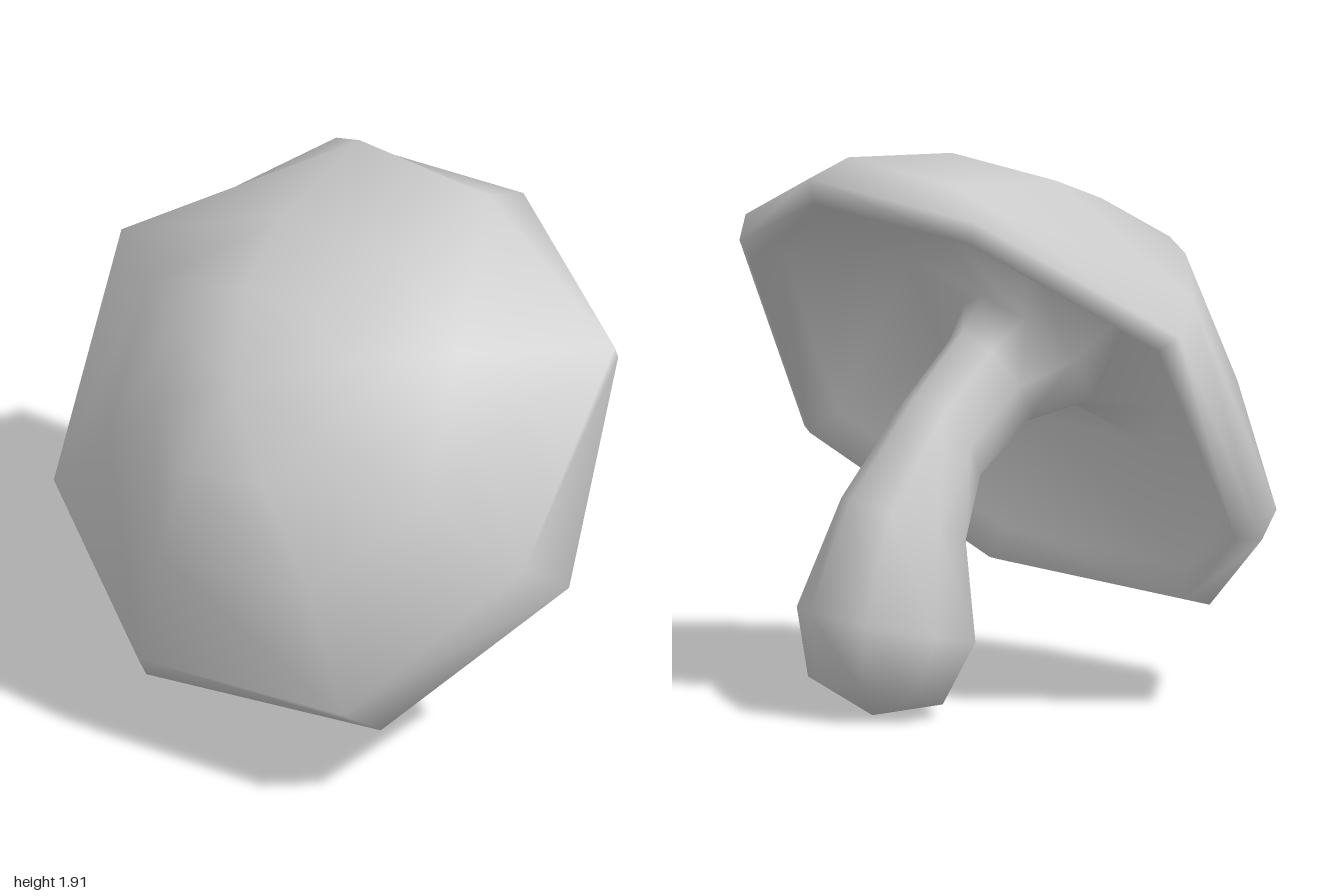
import * as THREE from 'three';
import { mergeVertices } from 'three/addons/utils/BufferGeometryUtils.js';

const SIDES = 8;
const V = (x, y, z) => new THREE.Vector3(x, y, z);

// Skins a stack of rings (arrays of SIDES points) with smooth normals
function loft(rings) {
  const index = [];
  for (let k = 0; k < rings.length - 1; k++) {
    for (let i = 0; i < SIDES; i++) {
      const j = (i + 1) % SIDES;
      const a = k * SIDES + i, b = k * SIDES + j;
      const c = b + SIDES, d = a + SIDES;
      index.push(a, d, c, a, c, b);
    }
  }
  const geometry = new THREE.BufferGeometry().setFromPoints(rings.flat());
  geometry.setIndex(index);
  const merged = mergeVertices(geometry, 1e-4);
  merged.computeVertexNormals();
  return merged;
}

// Bent stem: bulbous foot, narrow neck and a collar that flares into the cap
function stemRings() {
  // [centre x, y, z, half width x, its rise y, half depth z]
  const sections = [
    [0.57, 0, -0.07, 0, 0, 0],
    [0.555, 0.085, -0.065, 0.235, 0.055, 0.245],
    [0.505, 0.31, -0.055, 0.315, 0.07, 0.32],
    [0.425, 0.67, -0.04, 0.215, 0.09, 0.23],
    [0.245, 0.93, 0, 0.105, 0.16, 0.19],
    [0.03, 1.12, 0.02, 0.12, 0.17, 0.19],
    [-0.13, 1.2, 0.03, 0.19, 0.21, 0.28],
  ];
  return sections.map(([x, y, z, w, rise, d]) =>
    Array.from({ length: SIDES }, (_, i) => {
      const t = i / SIDES * Math.PI * 2;
      return V(x + w * Math.cos(t), y + rise * Math.cos(t), z + d * Math.sin(t));
    }));
}

// Tilted cap: hollow underside, uneven rounded lip and a leaning dome
function capRings() {
  const center = V(0, 1.09, 0);
  const rim = [
    V(0.66, 1.85, 0.2), V(0.55, 1.53, 0.83), V(0.18, 0.82, 1.0), V(-0.42, 0.34, 0.7),
    V(-0.74, 0.28, -0.17), V(-0.53, 0.63, -0.85), V(-0.1, 1.4, -1.0), V(0.46, 1.79, -0.56),
  ];
  const shoulder = [
    V(0.5, 1.91, 0.2), V(0.5, 1.61, 0.87), V(0, 0.95, 0.97), V(-0.58, 0.46, 0.68),
    V(-0.82, 0.4, -0.12), V(-0.62, 0.72, -0.8), V(-0.2, 1.51, -0.93), V(0.42, 1.88, -0.39),
  ];
  // Rim outline scaled about its centre and shifted
  const scaledRim = (r, x, y, z) => rim.map((p) =>
    p.clone().sub(center).multiplyScalar(r).add(center).add(V(x, y, z)));
  return [
    scaledRim(0.5, -0.2, 0.16, 0.06),
    scaledRim(0.86, -0.03, 0.025, 0.01),
    scaledRim(0.93, 0.04, -0.03, -0.01),
    rim,
    shoulder,
    scaledRim(0.63, -0.36, 0.31, 0.11),
    scaledRim(0.33, -0.5, 0.41, 0.09),
    scaledRim(0, -0.585, 0.45, 0.12),
  ];
}

export function createModel() {
  const mushroom = new THREE.Group();
  mushroom.name = 'mushroom';

  // One continuous skin, divided into stem and cap where the collar ends
  const stem = stemRings();
  const skin = loft([...stem, ...capRings()]);
  const indices = Array.from(skin.index.array);
  const split = (stem.length - 1) * SIDES * 6;
  const material = new THREE.MeshStandardMaterial({ color: 0xcccccc });
  const addPart = (name, faces) => {
    const geometry = skin.clone();
    geometry.setIndex(faces);
    const mesh = new THREE.Mesh(geometry, material);
    mesh.name = name;
    mushroom.add(mesh);
  };
  addPart('stem', indices.slice(0, split));
  addPart('cap', indices.slice(split));
  return mushroom;
}
